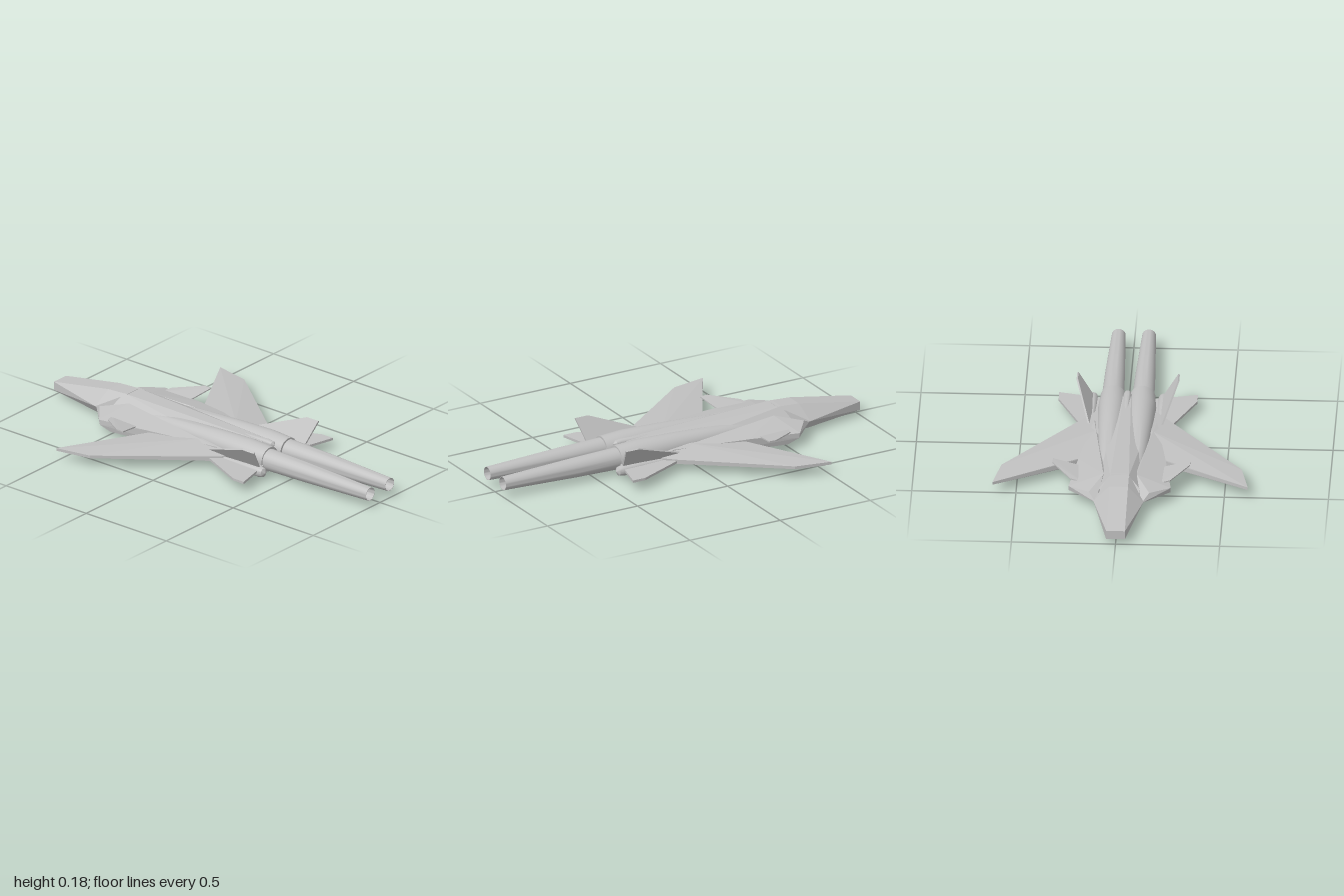
import * as THREE from 'three';
import { toCreasedNormals } from 'three/addons/utils/BufferGeometryUtils.js';
import { ConvexGeometry } from 'three/addons/geometries/ConvexGeometry.js';

export function createModel() {
  const model = new THREE.Group();
  model.name = 'jet';
  const grey = new THREE.MeshStandardMaterial({ color: 0xc0c0c0, side: THREE.DoubleSide });
  grey.name = 'hull grey';

  function add(name, geometry, x = 0, y = 0) {
    const mesh = new THREE.Mesh(geometry, grey);
    mesh.name = name;
    mesh.position.set(x, y, 0);
    model.add(mesh);
  }
  // Faceted solid through corner points; side -1 mirrors it
  const solid = (points, side = 1) =>
    new ConvexGeometry(points.map(([x, y, z]) => new THREE.Vector3(x * side, y, z)));
  // Solid symmetric about x = 0
  const twin = (points) => solid([...points, ...points.map(([x, y, z]) => [-x, y, z])]);
  // Thin plate: outline thickened both ways along an offset
  const plate = (outline, [dx, dy], side) =>
    solid(outline.flatMap(([x, y, z]) => [[x + dx, y + dy, z], [x - dx, y - dy, z]]), side);
  // Round body along z, from [z, radius] pairs
  const round = (profile, segments = 32) => toCreasedNormals(
    new THREE.LatheGeometry(profile.map(([z, r]) => new THREE.Vector2(r, z)), segments)
      .rotateX(Math.PI / 2), 0.5);

  // Blunt nose with flat spine and angled rear facets
  add('nose', twin([
    [0.045, 0.075, -1], [0.045, 0.032, -1],
    [0.12, 0.065, -0.68], [0.09, 0.02, -0.68],
    [0.045, 0.135, -0.66], [0.045, 0.142, -0.54], [0.08, 0.013, -0.55],
  ]));

  // Tapering centre body
  add('fuselage', twin([
    [0.045, 0.142, -0.56], [0.12, 0.065, -0.6], [0.08, 0.013, -0.56],
    [0.018, 0.124, 0.28], [0.14, 0.07, 0.28], [0.05, 0.03, 0.28],
  ]));

  // Slim spindles in the valley between the engines
  const spine = [[0.02, 0], [0.16, 0.013], [0.3, 0.02], [0.33, 0.016], [0.345, 0]];
  add('upperSpine', round(spine, 16), 0, 0.115);
  add('lowerSpine', round(spine, 16), 0, 0.032);

  for (const side of [1, -1]) {
    const label = side > 0 ? 'left' : 'right';

    // Engine nacelle, then the long hollow exhaust tube
    add(label + 'Nacelle', round([
      [-0.5, 0], [-0.4, 0.032], [-0.2, 0.05], [0.05, 0.063],
      [0.25, 0.069], [0.37, 0.062], [0.37, 0.05],
    ]), 0.07 * side, 0.073);
    add(label + 'Exhaust', round([
      [0.34, 0.054], [0.6, 0.048], [1, 0.033], [1, 0.031], [0.5, 0],
    ]), 0.073 * side, 0.073);

    // Angular intake trunk
    add(label + 'Intake', solid([
      [0.11, 0.058, -0.68], [0.145, 0.088, -0.63], [0.08, 0.118, -0.5],
      [0.245, 0.075, -0.55], [0.245, 0.05, -0.545], [0.232, 0.024, -0.49], [0.09, 0.016, -0.58],
      [0.21, 0.084, -0.29], [0.2, 0.026, -0.29],
      [0.15, 0.088, 0.1], [0.15, 0.035, 0.1], [0.08, 0.03, 0.1],
    ], side));

    // Raised foreplane
    add(label + 'Canard', plate([
      [0.18, 0.08, -0.52], [0.24, 0.087, -0.5], [0.33, 0.104, -0.37],
      [0.33, 0.104, -0.33], [0.2, 0.081, -0.352],
    ], [0, 0.003], side));

    // Forward-swept wing, thick at the root
    add(label + 'Wing', solid([
      [0.12, 0.078, -0.22], [0.12, 0.04, -0.22], [0.12, 0.094, 0], [0.12, 0.034, 0],
      [0.12, 0.075, 0.25], [0.12, 0.045, 0.25],
      [0.22, 0.07, -0.28], [0.22, 0.046, -0.28], [0.225, 0.068, 0.12], [0.225, 0.046, 0.12],
      [0.613, 0.065, -0.51], [0.613, 0.051, -0.51], [0.577, 0.065, -0.33], [0.577, 0.051, -0.33],
    ], side));

    // Horizontal tail
    add(label + 'Tailplane', plate([
      [0.12, 0.056, 0.12], [0.225, 0.056, 0.12], [0.333, 0.056, 0.36],
      [0.333, 0.056, 0.427], [0.24, 0.056, 0.39], [0.12, 0.056, 0.375],
    ], [0, 0.006], side));

    // Outward-canted fin
    add(label + 'Fin', plate([
      [0.17, 0.07, 0.05], [0.243, 0.178, 0.345], [0.243, 0.178, 0.415], [0.17, 0.07, 0.39],
    ], [0.0035, -0.0023], side));

    // Round-ended pod at the fin base
    add(label + 'Pod', round([
      [0.04, 0], [0.15, 0.017], [0.3, 0.025], [0.39, 0.027], [0.415, 0.022], [0.428, 0],
    ], 16), 0.17 * side, 0.05);
  }
  return model;
}
